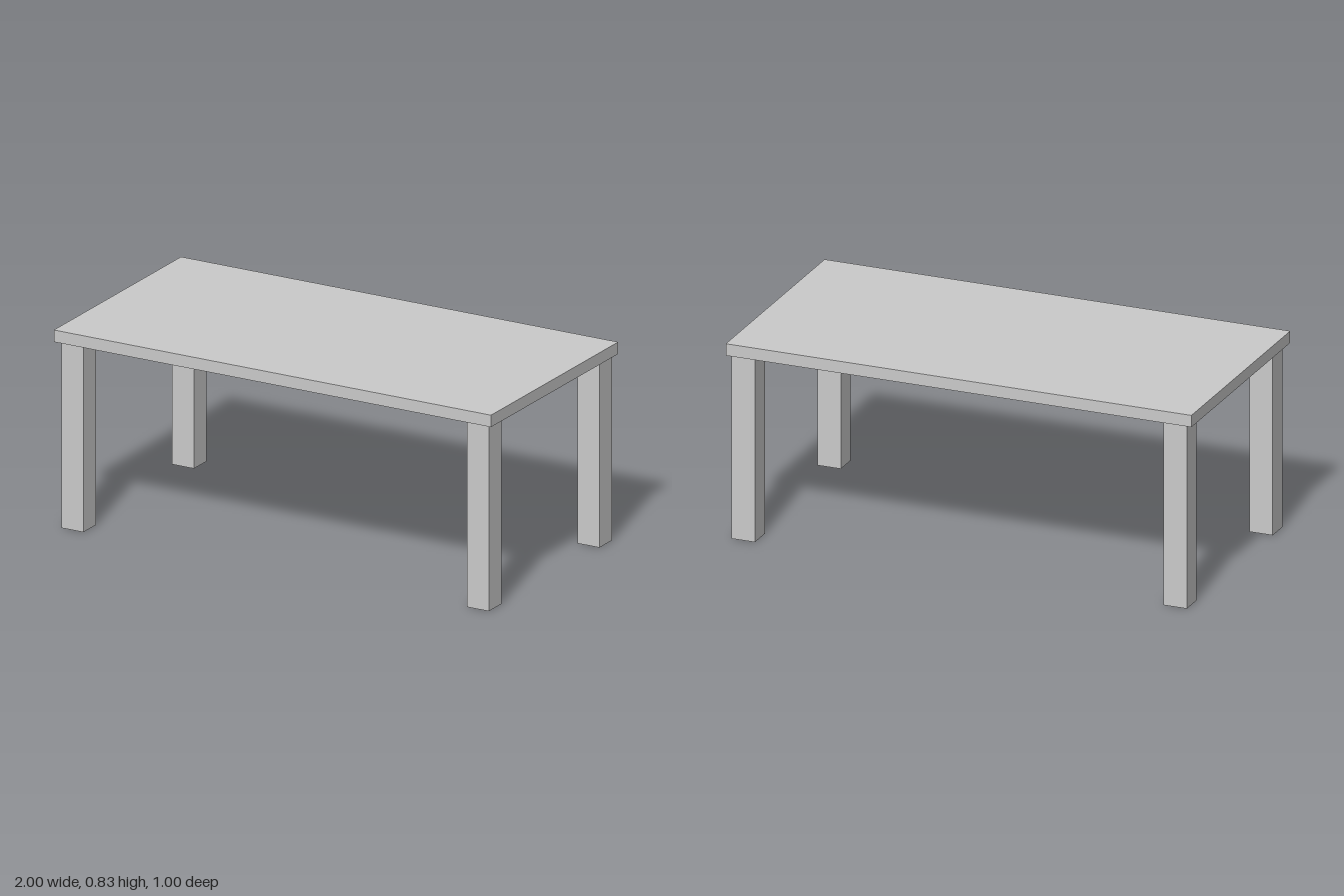
import * as THREE from 'three';

const LEG = 0.1, LEG_HEIGHT = 0.78, TOP_THICKNESS = 0.05;

export function createModel() {
  const group = new THREE.Group();
  const material = new THREE.MeshStandardMaterial({ color: 0xcccccc, flatShading: true });

  const addBox = (name, size, position) => {
    const mesh = new THREE.Mesh(new THREE.BoxGeometry(...size), material);
    mesh.name = name;
    mesh.position.set(...position);
    group.add(mesh);
  };

  // Flat slab top
  addBox('tableTop', [2, TOP_THICKNESS, 1], [0, LEG_HEIGHT + TOP_THICKNESS / 2, 0]);

  // Four square legs, set in slightly from the corners
  for (const [side, x] of [['Left', 0.932], ['Right', -0.923]]) {
    for (const [end, z] of [['front', 0.436], ['back', -0.433]]) {
      addBox(`${end}${side}Leg`, [LEG, LEG_HEIGHT, LEG], [x, LEG_HEIGHT / 2, z]);
    }
  }
  return group;
}
